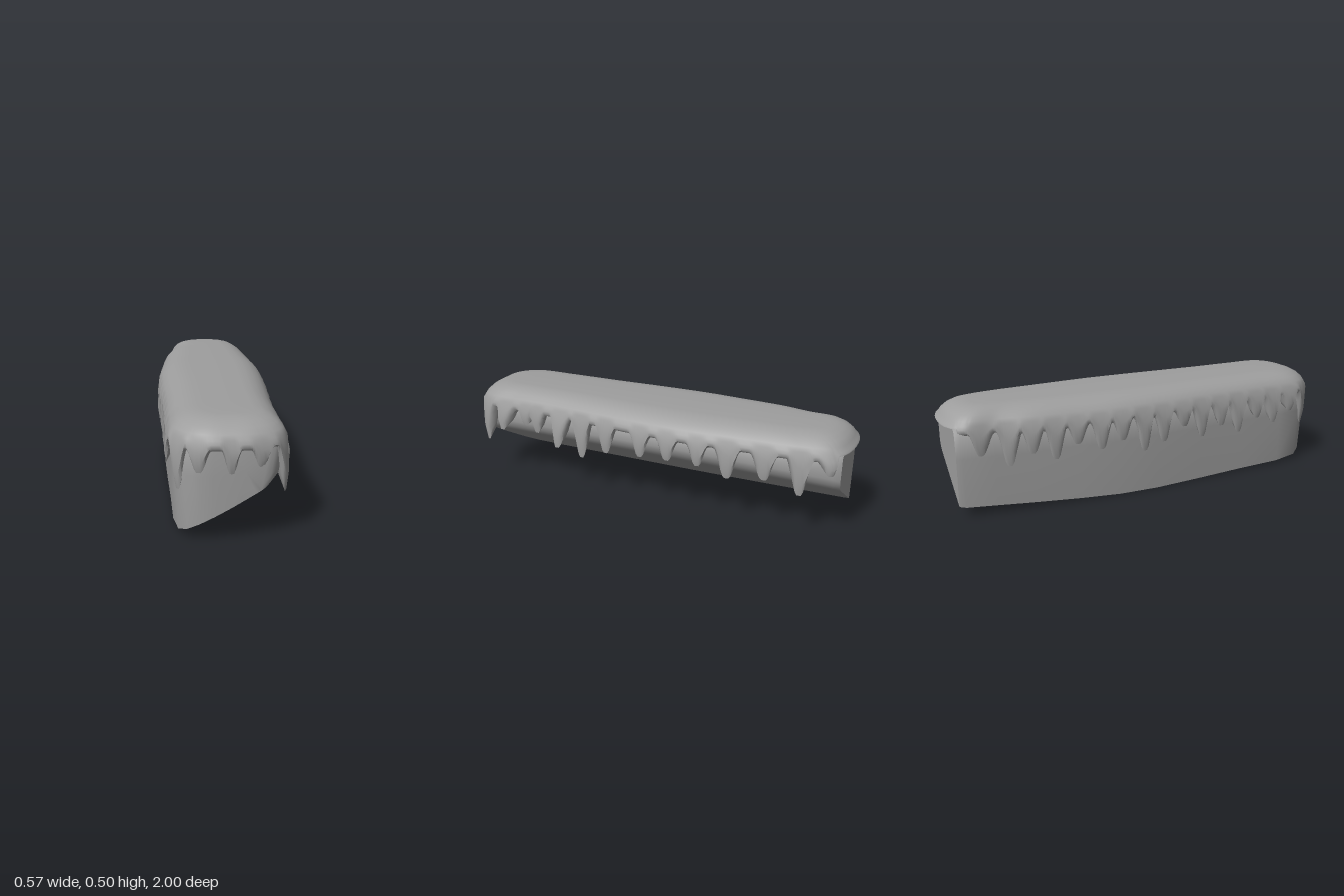
import * as THREE from 'three';
import { toCreasedNormals } from 'three/addons/utils/BufferGeometryUtils.js';

const material = new THREE.MeshStandardMaterial({ color: 0x9e9e9e, side: THREE.DoubleSide });

// Skin a list of closed rings that all have the same number of points
function loft(name, rings, crease) {
  const n = rings[0].length;
  const index = [];
  for (let i = 0; i < rings.length - 1; i++) {
    for (let j = 0; j < n; j++) {
      const k = (j + 1) % n;
      const a = i * n + j, b = i * n + k, c = (i + 1) * n + k, d = (i + 1) * n + j;
      index.push(a, b, d, b, c, d);
    }
  }
  const geometry = new THREE.BufferGeometry();
  geometry.setAttribute('position', new THREE.Float32BufferAttribute(rings.flat(2), 3));
  geometry.setIndex(index);
  const mesh = new THREE.Mesh(toCreasedNormals(geometry, crease), material);
  mesh.name = name;
  return mesh;
}

// Wedge under the snow: upright on -x, sloping underside rising to +x
function createWedge() {
  // z, left x, right x, outward lean of the upper left side
  const stations = [
    [-0.97, -0.165, 0.16, 0], [-0.94, -0.175, 0.175, 0], [-0.8, -0.19, 0.205, 0],
    [-0.62, -0.21, 0.225, 0], [-0.4, -0.232, 0.24, 0], [-0.2, -0.248, 0.25, 0],
    [0, -0.252, 0.245, 0], [0.25, -0.245, 0.23, 0], [0.5, -0.236, 0.215, 0],
    [0.75, -0.23, 0.205, 0], [0.88, -0.212, 0.2, 0.005], [0.93, -0.178, 0.19, 0.01],
    [0.955, -0.13, 0.17, 0.02], [0.97, -0.07, 0.15, 0.05], [0.978, 0, 0.12, 0.07],
  ];
  const slope = x => 0.6 * (x + 0.255);
  const rings = stations.map(([z, l, r, lean]) => {
    const under = [0, 0.2, 0.4, 0.6, 0.78, 0.92].map(t => {
      const x = l + (r - l) * t;
      return [x, slope(x), z];
    });
    return [
      ...under,
      [r - 0.006, slope(r) + 0.01, z], [r, slope(r) + 0.04, z], [r, 0.4, z], [r - 0.04, 0.435, z],
      [l - lean + 0.04, 0.435, z], [l - lean, 0.4, z], [l - lean - 0.006, 0.28, z],
    ];
  });
  // close both ends
  const point = (x, y, z) => rings[0].map(() => [x, y, z]);
  return loft('wedgeBody', [point(0, 0.3, -0.97), ...rings, point(0.05, 0.3, 0.982)], 0.9);
}

// Plan outline of the snow cap: right side, front, left side, back
const outline = [
  [0.19, -0.95], [0.235, -0.8], [0.25, -0.62], [0.262, -0.45], [0.275, -0.25], [0.268, 0],
  [0.252, 0.25], [0.236, 0.5], [0.232, 0.75], [0.225, 0.9], [0.185, 0.955], [0.11, 0.988],
  [0, 0.997], [-0.12, 0.988], [-0.2, 0.94], [-0.245, 0.87], [-0.256, 0.65], [-0.262, 0.35],
  [-0.275, 0.05], [-0.277, -0.2], [-0.26, -0.42], [-0.238, -0.65], [-0.202, -0.8],
  [-0.182, -0.94], [-0.1, -0.995], [0.1, -0.995],
];

// Icicles: x, z, tip height, half width, outward push
const icicles = [
  // right side
  [0.22, 0.92, 0.195, 0.06, 0.01], [0.23, 0.78, 0.28, 0.055, 0.03], [0.23, 0.66, 0.32, 0.05, 0.01],
  [0.23, 0.59, 0.29, 0.05, 0.01], [0.24, 0.44, 0.24, 0.06, 0.035], [0.25, 0.32, 0.205, 0.06, 0.01],
  [0.26, 0.17, 0.26, 0.06, 0.01], [0.27, -0.02, 0.28, 0.06, 0.01], [0.27, -0.17, 0.29, 0.06, 0.01],
  [0.27, -0.32, 0.29, 0.055, 0.01], [0.26, -0.47, 0.25, 0.065, 0.01], [0.25, -0.64, 0.27, 0.065, 0.01],
  [0.23, -0.8, 0.22, 0.06, 0.01], [0.2, -0.92, 0.33, 0.05, 0.02],
  // front
  [0.125, 1, 0.315, 0.048, 0], [-0.008, 1, 0.295, 0.042, 0], [-0.145, 1, 0.298, 0.055, 0],
  [-0.222, 0.92, 0.21, 0.055, 0],
];
// left side, closely spaced with varied lengths
[0.3, 0.25, 0.29, 0.23, 0.28, 0.24, 0.31, 0.25, 0.22, 0.29, 0.26, 0.3, 0.24, 0.28, 0.23, 0.29]
  .forEach((tip, i) => icicles.push([-0.26, 0.8 - i * 0.111, tip, 0.058, 0.01]));

function createSnowCap() {
  const curve = new THREE.CatmullRomCurve3(
    outline.map(([x, z]) => new THREE.Vector3(x, 0, z)), true);
  const points = curve.getSpacedPoints(480).slice(0, -1);

  // snap each icicle to the outline
  const anchors = icicles.map(([x, z, tip, width, push]) => {
    const at = new THREE.Vector3(x, 0, z);
    const p = points.reduce((best, q) => (q.distanceTo(at) < best.distanceTo(at) ? q : best));
    return { p, tip, width, push };
  });

  // hanging edge height and outward push at every outline point
  const edge = points.map(p => {
    const base = p.z < -0.955 ? 0.415 : 0.39;
    let y = base;
    let push = 0;
    for (const a of anchors) {
      const d = p.distanceTo(a.p) / a.width;
      if (d >= 1 || base > 0.4) continue;
      const s = THREE.MathUtils.smoothstep(1 - d, 0, 0.85);
      y = Math.min(y, base - (base - a.tip) * s);
      push = Math.max(push, a.push * s);
    }
    return { y, push };
  });

  // one ring around the cap; inset and height are given per outline point
  const row = (inset, height) => points.map((p, j) => {
    const i = inset(j);
    return [p.x * (1 - i / 0.27), height(j), p.z * (1 - i)];
  });
  const hang = t => j => 0.43 + (edge[j].y - 0.43) * t;
  const pushed = (inset, amount) => j => inset - edge[j].push * amount;

  const top = [
    [0.27, 0.5], [0.15, 0.5], [0.11, 0.497], [0.075, 0.487], [0.045, 0.471], [0.022, 0.45], [0.01, 0.43],
  ].map(([inset, y]) => row(() => inset, () => y));
  return loft('snowCap', [
    ...top,
    // outside of the icicle skirt
    row(pushed(0.002, 0.4), hang(0.35)),
    row(pushed(0, 0.8), hang(0.7)),
    row(pushed(0.01, 1), hang(1)),
    // inside of the skirt, running back into the wedge
    row(pushed(0.032, 0.5), hang(0.75)),
    row(pushed(0.045, 0), hang(0.3)),
    row(pushed(0.06, 0), () => 0.425),
  ], 0.9);
}

export function createModel() {
  const group = new THREE.Group();
  group.name = 'snowLedge';
  group.add(createWedge(), createSnowCap());
  return group;
}
